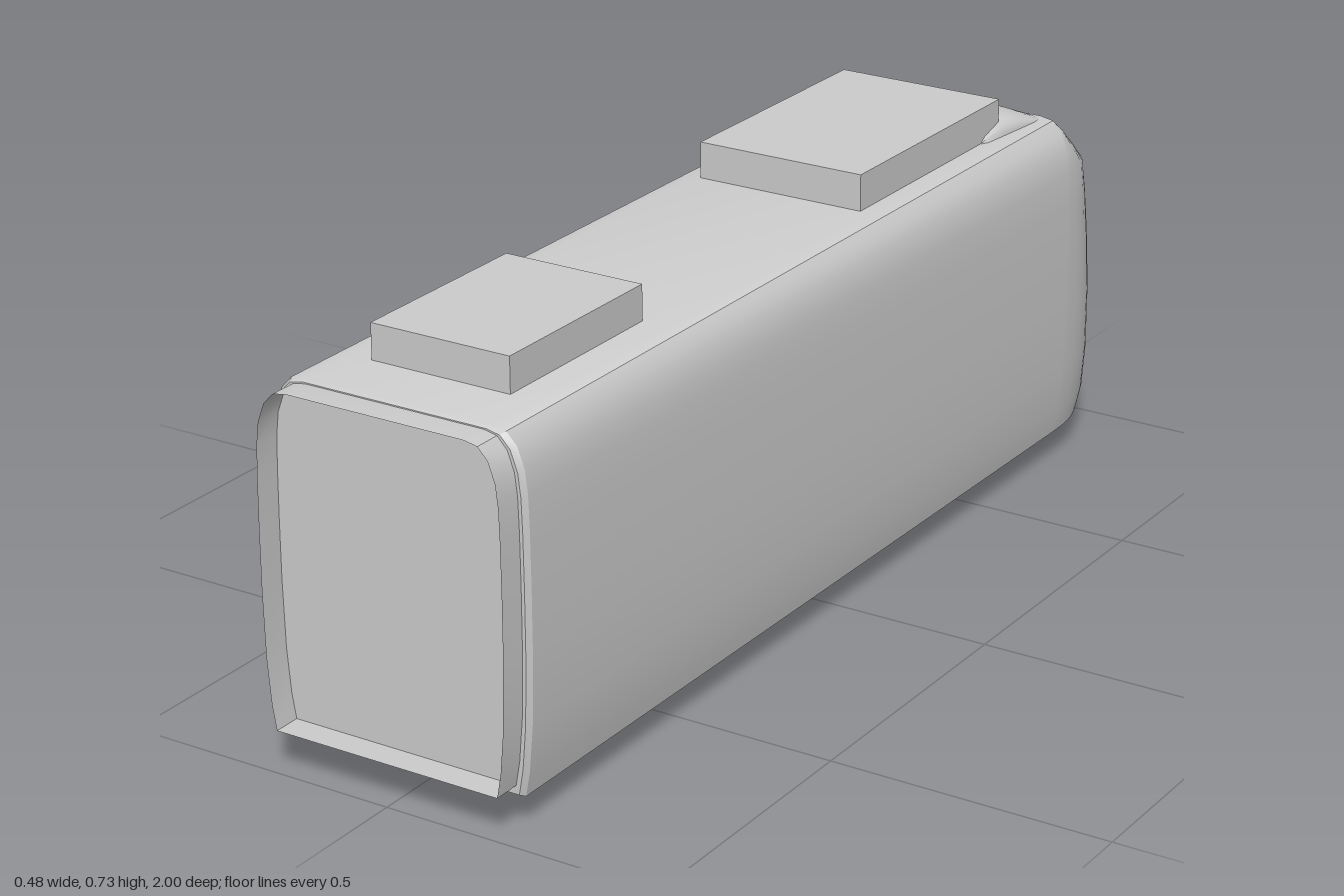
import * as THREE from 'three';
import { toCreasedNormals } from 'three/addons/utils/BufferGeometryUtils.js';

// Half cross-section of the car body from sill to roof: [x, y, nose length at that height]
const PROFILE = [
  [0.222, 0.055, 0.225], [0.23, 0.1, 0.24], [0.237, 0.18, 0.239], [0.24, 0.3, 0.23],
  [0.24, 0.41, 0.211], [0.239, 0.5, 0.188], [0.237, 0.56, 0.168], [0.232, 0.6, 0.105],
  [0.219, 0.635, 0.045], [0.2, 0.655, 0.01], [0.175, 0.66, 0],
];
const NOSE_Z = -0.76;

// Surface through rows of points
function grid(rows, crease = 0.5) {
  const n = rows[0].length, index = [];
  for (let i = 0; i < rows.length - 1; i++) {
    for (let j = 0; j < n - 1; j++) {
      const a = i * n + j, c = a + n;
      index.push(a, a + 1, c + 1, a, c + 1, c);
    }
  }
  const geo = new THREE.BufferGeometry();
  geo.setAttribute('position', new THREE.Float32BufferAttribute(rows.flat(2), 3));
  geo.setIndex(index);
  return toCreasedNormals(geo, crease);
}

// Closed body outline at z, scaled in x and fitted between two heights
function ring(z, sx = 1, y0 = 0.055, y1 = 0.66) {
  const fit = (y) => y0 + ((y - 0.055) / 0.605) * (y1 - y0);
  const right = PROFILE.map(([x, y]) => [x * sx, fit(y), z]);
  const left = right.map(([x, y]) => [-x, y, z]).reverse();
  return [...right, ...left, right[0]];
}

// Half superellipse from +x over to -x, as [cos, sin] pairs
function arc(power, steps) {
  return Array.from({ length: steps + 1 }, (_, i) => {
    const a = (Math.PI * i) / steps, c = Math.cos(a);
    return [Math.sign(c) * Math.abs(c) ** power, Math.max(0, Math.sin(a)) ** power];
  });
}

export function createModel() {
  const group = new THREE.Group();
  const grey = new THREE.MeshStandardMaterial({ color: 0xcccccc });
  grey.name = 'light grey';
  grey.side = THREE.DoubleSide;
  const add = (name, geo, x = 0, y = 0, z = 0) => {
    const mesh = new THREE.Mesh(geo, grey);
    mesh.name = name;
    mesh.position.set(x, y, z);
    group.add(mesh);
    return mesh;
  };

  // Long body shell with a small bevel at the coupling end
  add('bodyShell', grid([ring(NOSE_Z), ring(0.94), ring(0.95, 0.975, 0.06, 0.656)]));

  // End wall, recessed behind the open gangway sleeve
  const wall = new THREE.Shape(ring(0, 0.975, 0.06, 0.656).map(([x, y]) => new THREE.Vector2(x, y)));
  add('endWall', new THREE.ShapeGeometry(wall), 0, 0, 0.95);
  add('gangwaySleeve', grid([ring(0.945, 0.95, 0.075, 0.654), ring(1, 0.95, 0.075, 0.654)]));

  // Rounded cab nose: a flat floor, then plan outlines stacked up to the roof
  const plan = arc(0.8, 32);
  const level = ([w, y, d]) => plan.map(([c, s]) => [w * c, y, NOSE_Z - d * s]);
  add('cabNose', grid([level([0.222, 0.055, 0]), ...PROFILE.map(level)]));

  // Low fairing on the roof between the nose and the front roof unit: [z, half width, height]
  const hump = arc(0.65, 20);
  const sections = [
    [-0.775, 0.185, 0], [-0.76, 0.185, 0.012], [-0.72, 0.182, 0.032], [-0.68, 0.179, 0.046],
    [-0.63, 0.175, 0.053], [-0.58, 0.17, 0.035], [-0.54, 0.16, 0],
  ];
  add('roofFairing', grid(sections.map(([z, w, h]) => hump.map(([c, s]) => [w * c, 0.65 + h * s, z])), 0.8));

  // Roof equipment boxes
  add('frontRoofUnit', new THREE.BoxGeometry(0.32, 0.07, 0.48), 0, 0.69, -0.39);
  add('rearRoofUnit', new THREE.BoxGeometry(0.26, 0.07, 0.36), 0, 0.687, 0.65);

  // Four thin eight-sided wheels, half hidden in the floor
  const wheel = new THREE.CylinderGeometry(0.055, 0.055, 0.02, 8).rotateZ(Math.PI / 2);
  for (const z of [0.355, -0.005]) {
    for (const side of [-1, 1]) add('wheel', wheel, side * 0.15, 0.055, z);
  }
  return group;
}
